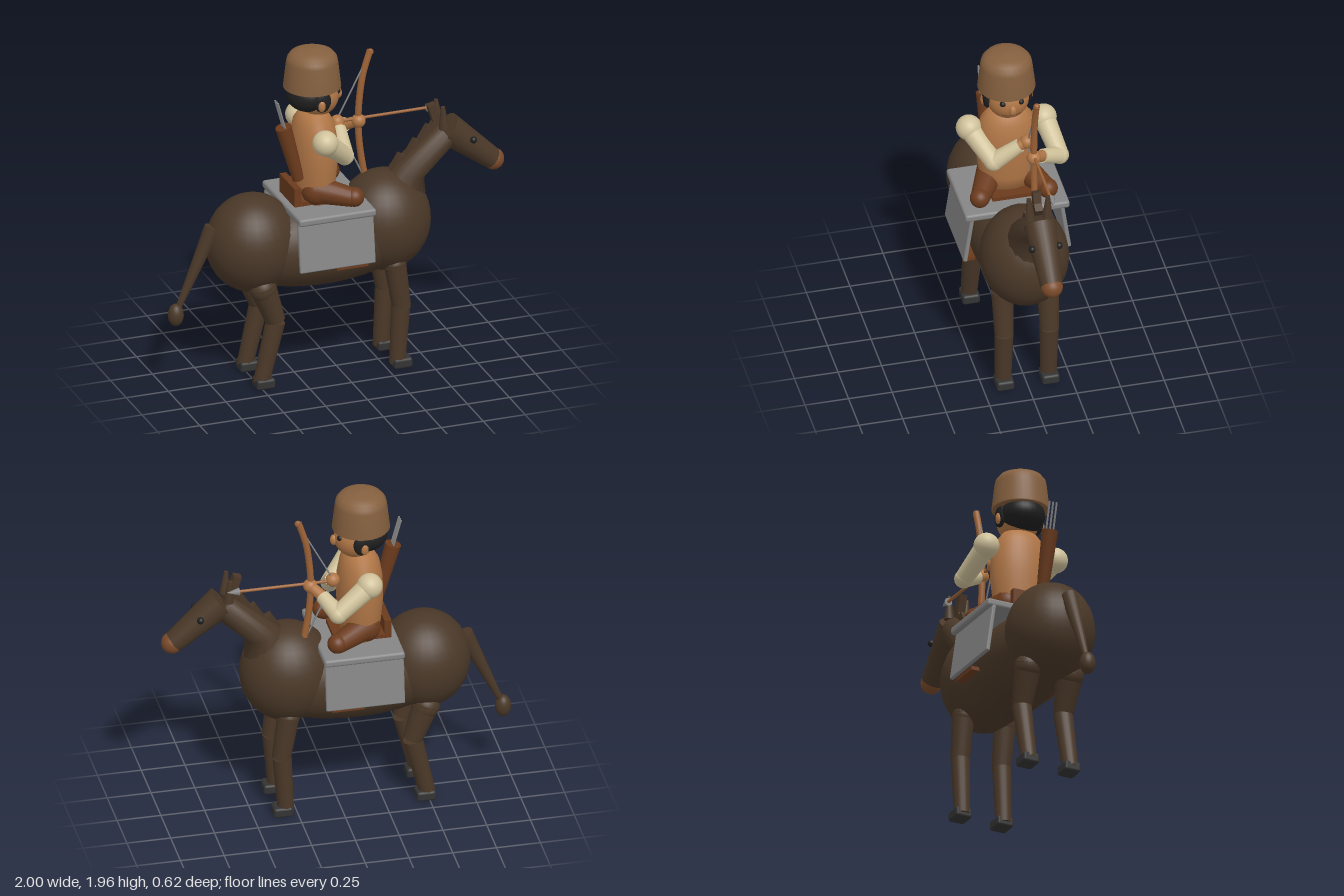
import * as THREE from 'three';
import { RoundedBoxGeometry } from 'three/addons/geometries/RoundedBoxGeometry.js';

const mat = (name, color) => {
  const m = new THREE.MeshStandardMaterial({ color });
  m.name = name;
  return m;
};
const V = (p) => new THREE.Vector3(...p);

export function createModel() {
  const coat = mat('dark brown coat', 0x4a3828);
  const muzzleBrown = mat('muzzle brown', 0x7a4a2a);
  const grey = mat('saddle grey', 0x858585);
  const hoofGrey = mat('hoof charcoal', 0x333333);
  const black = mat('black hair', 0x1f1f1f);
  const skin = mat('tan', 0xb07646);
  const felt = mat('hat brown', 0x85603f);
  const cream = mat('cream sleeve', 0xcfc19a);
  const leather = mat('leather', 0x6b3b1d);
  const wood = mat('bow wood', 0x9c6236);

  const root = new THREE.Group();
  root.name = 'mountedArcher';
  const horse = new THREE.Group();
  horse.name = 'horse';
  const rider = new THREE.Group();
  rider.name = 'rider';
  root.add(horse, rider);

  const add = (parent, name, geo, material, pos = [0, 0, 0], rot = [0, 0, 0]) => {
    const m = new THREE.Mesh(geo, material);
    m.name = name;
    m.position.set(...pos);
    m.rotation.set(...rot);
    parent.add(m);
    return m;
  };
  const ball = (parent, name, pos, r, material) => {
    const m = add(parent, name, new THREE.SphereGeometry(1, 28, 20), material, pos);
    m.scale.set(...(Array.isArray(r) ? r : [r, r, r]));
    return m;
  };
  // Tapered rod from a (radius ra) to b (radius rb)
  const rod = (parent, name, a, b, ra, rb, material, sides = 18) => {
    const d = V(b).sub(V(a));
    const m = add(parent, name, new THREE.CylinderGeometry(rb, ra, d.length(), sides), material,
      V(a).add(V(b)).multiplyScalar(0.5).toArray());
    m.quaternion.setFromUnitVectors(new THREE.Vector3(0, 1, 0), d.normalize());
    return m;
  };

  // Horse body
  ball(horse, 'rump', [-0.5, 0.835, 0], [0.265, 0.285, 0.25], coat);
  ball(horse, 'chest', [0.28, 0.855, 0], [0.27, 0.295, 0.25], coat);
  ball(horse, 'belly', [-0.1, 0.79, 0], [0.62, 0.255, 0.245], coat);

  // Neck: elliptical sections, each given by crest point, throat point and half width
  const sections = [
    [[0.24, 1.02], [0.53, 0.94], 0.135],
    [[0.33, 1.16], [0.515, 1.09], 0.118],
    [[0.60, 1.385], [0.69, 1.25], 0.085],
  ];
  const sides = 14, verts = [], faces = [];
  sections.forEach(([c, t, w]) => {
    for (let i = 0; i < sides; i++) {
      const a = (i / sides) * Math.PI * 2, k = (1 + Math.cos(a)) / 2;
      verts.push(c[0] + (t[0] - c[0]) * k, c[1] + (t[1] - c[1]) * k, -Math.sin(a) * w);
    }
  });
  for (let s = 0; s < sections.length - 1; s++) {
    for (let i = 0; i < sides; i++) {
      const a = s * sides + i, b = s * sides + (i + 1) % sides;
      faces.push(a, b, b + sides, a, b + sides, a + sides);
    }
  }
  for (let i = 1; i < sides - 1; i++) faces.push(2 * sides, 2 * sides + i, 2 * sides + i + 1);
  const neck = new THREE.BufferGeometry();
  neck.setAttribute('position', new THREE.Float32BufferAttribute(verts, 3));
  neck.setIndex(faces);
  neck.computeVertexNormals();
  add(horse, 'neck', neck, coat);

  // Head and muzzle
  rod(horse, 'horseHead', [0.655, 1.35, 0], [0.93, 1.12, 0], 0.092, 0.062, coat, 20);
  ball(horse, 'muzzle', [0.936, 1.117, 0], 0.062, muzzleBrown);

  // Mane tufts along the crest
  [[0.365, 1.18], [0.455, 1.255], [0.53, 1.33], [0.595, 1.395], [0.58, 1.455]].forEach(([x, y], i) =>
    add(horse, 'maneTuft', new THREE.BoxGeometry(0.045, 0.11, 0.045), coat,
      [x, y, 0], [0, 0, i === 4 ? 0.3 : -0.55]));

  // Paired horse parts
  for (const s of [1, -1]) {
    const z = 0.13 * s;
    rod(horse, 'ear', [0.625, 1.37, 0.05 * s], [0.615, 1.505, 0.055 * s], 0.03, 0.012, coat, 10);
    ball(horse, 'horseEye', [0.79, 1.285, 0.077 * s], 0.02, black);

    ball(horse, 'shoulderJoint', [0.30, 0.62, z], 0.062, coat);
    rod(horse, 'foreUpperLeg', [0.30, 0.64, z], [0.34, 0.37, z], 0.064, 0.054, coat);
    rod(horse, 'foreLowerLeg', [0.337, 0.37, z], [0.315, 0.025, z], 0.054, 0.046, coat);
    add(horse, 'foreHoof', new RoundedBoxGeometry(0.11, 0.06, 0.1, 2, 0.015), hoofGrey, [0.337, 0.03, z]);

    ball(horse, 'hipJoint', [-0.485, 0.6, z], 0.078, coat);
    rod(horse, 'hindUpperLeg', [-0.49, 0.62, z], [-0.41, 0.395, z], 0.078, 0.056, coat);
    rod(horse, 'hindLowerLeg', [-0.41, 0.39, z], [-0.495, 0.03, z], 0.056, 0.046, coat);
    add(horse, 'hindHoof', new RoundedBoxGeometry(0.11, 0.06, 0.1, 2, 0.015), hoofGrey, [-0.48, 0.03, z]);

    // Saddle flap and stirrup
    add(horse, 'saddleFlap', new RoundedBoxGeometry(0.45, 0.31, 0.024, 2, 0.008), grey,
      [-0.103, 0.89, 0.277 * s], [-0.14 * s, 0, 0]);
    add(horse, 'stirrup', new THREE.BoxGeometry(0.185, 0.022, 0.05), leather, [-0.008, 0.725, 0.26 * s]);
  }

  // Tail
  rod(horse, 'tail', [-0.735, 0.96, 0], [-0.945, 0.49, 0], 0.048, 0.016, coat);
  ball(horse, 'tailTuft', [-0.955, 0.46, 0], [0.045, 0.066, 0.045], coat);

  // Saddle
  add(horse, 'saddlePad', new RoundedBoxGeometry(0.46, 0.045, 0.6, 2, 0.015), grey, [-0.1, 1.038, 0]);
  add(horse, 'saddleSeat', new THREE.BoxGeometry(0.32, 0.03, 0.24), leather, [-0.13, 1.07, 0]);
  add(horse, 'cantle', new THREE.BoxGeometry(0.04, 0.11, 0.24), leather, [-0.272, 1.115, 0]);

  // Torso, head and hat
  const lathe = (pts) => new THREE.LatheGeometry(pts.map(([r, y]) => new THREE.Vector2(r, y)), 32);
  const torso = add(rider, 'torso', lathe([[0, 1.05], [0.105, 1.06], [0.118, 1.16], [0.13, 1.3],
    [0.127, 1.42], [0.11, 1.52], [0.075, 1.58], [0, 1.605]]), skin, [-0.135, 0, 0]);
  torso.scale.z = 1.35;
  ball(rider, 'riderHead', [-0.11, 1.675, 0], 0.12, skin);
  ball(rider, 'hair', [-0.167, 1.69, 0], [0.125, 0.1, 0.128], black);
  ball(rider, 'nose', [0.012, 1.665, 0], [0.022, 0.032, 0.022], skin);
  const lip = add(rider, 'mouth', new THREE.TorusGeometry(0.1, 0.005, 6, 16, 1.1), leather,
    [-0.104, 1.626, 0], [Math.PI / 2, 0, -0.55]);
  lip.scale.z = 0.8;
  add(rider, 'hat', lathe([[0, 1.735], [0.155, 1.73], [0.163, 1.735], [0.146, 1.885], [0.14, 1.91],
    [0.12, 1.935], [0.08, 1.952], [0, 1.96]]), felt, [-0.143, 0, 0]);

  for (const s of [1, -1]) {
    ball(rider, 'riderEye', [-0.012, 1.703, 0.052 * s], 0.017, black);
    ball(rider, 'sideLock', [-0.125, 1.68, 0.118 * s], [0.05, 0.065, 0.024], black);
    ball(rider, 'riderEar', [-0.135, 1.66, 0.135 * s], [0.022, 0.034, 0.016], skin);
    // Bent legs on the saddle
    ball(rider, 'hip', [-0.15, 1.13, 0.085 * s], 0.085, leather);
    rod(rider, 'thigh', [-0.16, 1.14, 0.085 * s], [0.035, 1.1, 0.195 * s], 0.08, 0.054, leather);
    ball(rider, 'knee', [0.035, 1.105, 0.195 * s], 0.056, leather);
    ball(rider, 'shoulder', [-0.145, 1.47, 0.215 * s], 0.073, cream);
  }

  // Arm drawing the string
  const arm = (shoulder, elbow, wrist, hand) => {
    rod(rider, 'upperArm', shoulder, elbow, 0.062, 0.052, cream);
    ball(rider, 'elbow', elbow, 0.053, cream);
    rod(rider, 'forearm', elbow, wrist, 0.052, 0.04, cream);
    rod(rider, 'wrist', wrist, hand, 0.033, 0.03, skin);
    ball(rider, 'hand', hand, 0.04, skin);
  };
  arm([-0.145, 1.47, 0.215], [0.01, 1.325, 0.11], [0.03, 1.43, -0.035], [0.035, 1.452, -0.075]);
  // Arm holding the bow
  arm([-0.145, 1.47, -0.215], [0.045, 1.335, -0.26], [0.11, 1.395, -0.145], [0.165, 1.435, -0.083]);

  // Bow, string and nocked arrow
  const bz = -0.083, top = [0.235, 1.845, bz], low = [0.205, 1.07, bz], nock = [0.03, 1.45, bz];
  const bowCurve = new THREE.CatmullRomCurve3([[0.235, 1.86, bz], [0.19, 1.71, bz], [0.168, 1.55, bz],
    [0.163, 1.43, bz], [0.172, 1.28, bz], low].map(V));
  add(rider, 'bow', new THREE.TubeGeometry(bowCurve, 28, 0.019, 10), wood);
  for (const end of [top, low]) {
    ball(rider, 'bowTip', end, 0.019, wood);
    rod(rider, 'bowString', end, nock, 0.005, 0.005, grey, 6);
  }
  rod(rider, 'arrowShaft', nock, [0.58, 1.45, bz], 0.009, 0.009, wood, 8);
  rod(rider, 'arrowHead', [0.57, 1.45, bz], [0.64, 1.45, bz], 0.024, 0.001, grey, 8);

  // Quiver with spare arrows
  rod(rider, 'quiver', [-0.255, 1.215, 0.08], [-0.345, 1.545, 0.08], 0.034, 0.046, leather);
  for (const dz of [-0.022, 0, 0.022]) {
    rod(rider, 'spareArrow', [-0.33, 1.5, 0.08 + dz], [-0.385, 1.705, 0.08 + dz], 0.006, 0.006, grey, 6);
  }
  return root;
}
